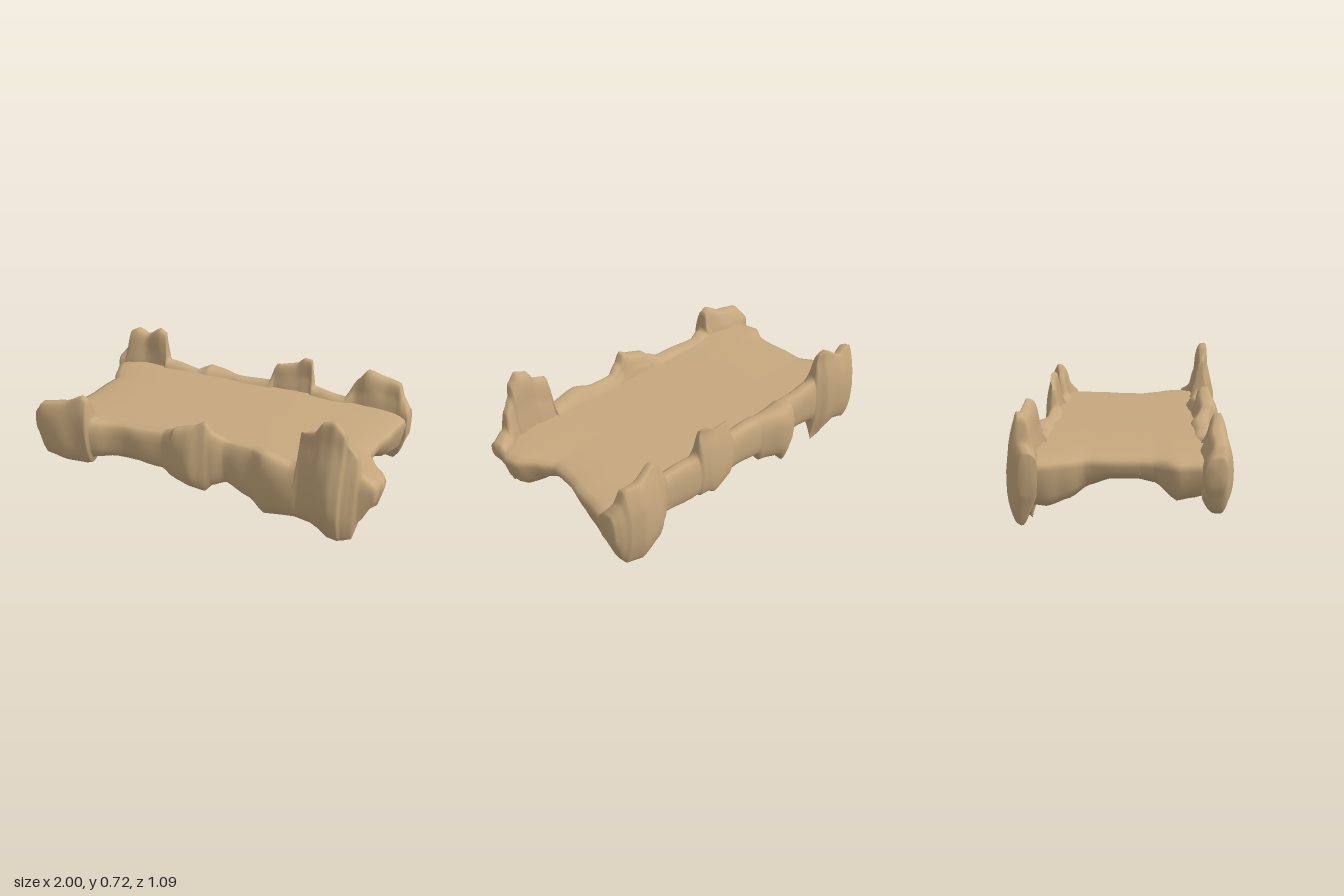
import * as THREE from 'three';

const SIDES = 28;
const spow = (v, e) => Math.sign(v) * Math.pow(Math.abs(v), e);

// Insert softened in-between stations so the lumps look weathered
function refine(stations, steps) {
  const out = [];
  for (let i = 0; i < stations.length - 1; i++) {
    for (let k = 0; k < steps; k++) {
      const t = k / steps;
      const s = (t + t * t * (3 - 2 * t)) / 2;
      out.push(stations[i].map((v, c) => v + (stations[i + 1][c] - v) * (c === 0 ? t : s)));
    }
  }
  out.push(stations[stations.length - 1]);
  return out;
}

// Closed skin over a list of rings, capped at both ends
function loft(rings) {
  const pos = [], idx = [];
  const n = SIDES, last = rings.length - 1;
  rings.forEach((ring) => ring.forEach((p) => pos.push(...p)));
  for (let i = 0; i < last; i++) {
    for (let j = 0; j < n; j++) {
      const a = i * n + j, b = i * n + (j + 1) % n;
      idx.push(a, a + n, b, b, a + n, b + n);
    }
  }
  [0, last].forEach((r) => {
    const c = pos.length / 3;
    pos.push(...[0, 1, 2].map((k) => rings[r].reduce((s, p) => s + p[k], 0) / n));
    for (let j = 0; j < n; j++) {
      const a = r * n + j, b = r * n + (j + 1) % n;
      if (r === 0) idx.push(c, a, b);
      else idx.push(c, b, a);
    }
  });
  const g = new THREE.BufferGeometry();
  g.setAttribute('position', new THREE.Float32BufferAttribute(pos, 3));
  g.setIndex(idx);
  g.computeVertexNormals();
  return g;
}

// Inner face of a wall: flares into the deck, draws back above and below it
function innerFlare(y) {
  if (y > 0.2) return 0.025 * Math.min(1, Math.max(0, (0.44 - y) / 0.06));
  return 0.025 - (0.2 - y) * 0.33;
}

// Lumpy edge wall running along x: stations are x, bottom, top, inner z, outer z
function rimGeometry(stations, side) {
  return loft(refine(stations, 4).map(([x, yb, yt, zi, zo]) => {
    const ring = [];
    for (let j = 0; j < SIDES; j++) {
      const a = (j / SIDES) * Math.PI * 2;
      const y = (yb + yt) / 2 + ((yt - yb) / 2) * spow(Math.sin(a), 0.65);
      const c = spow(Math.cos(a), 0.6);
      let z = side * (zi + zo) / 2 + ((zo - zi) / 2) * c;
      // outer face leans in away from its middle
      if (c * side > 0) z -= side * c * side * Math.min(0.04, 0.6 * Math.pow(y - 0.3, 2));
      else z -= side * Math.abs(c) * innerFlare(y);
      ring.push([x, y, z + 0.005 * Math.sin(x * 23 + y * 9)]);
    }
    return ring;
  }));
}

// Deck running along z: stations are z, left x, right x, underside, corner drop
function deckGeometry(stations) {
  const top = 0.393, mid = 0.33;
  return loft(refine(stations, 4).map(([z, x0, x1, yb, drop]) => {
    const ring = [];
    for (let j = 0; j < SIDES; j++) {
      const a = (j / SIDES) * Math.PI * 2;
      const s = Math.sin(a), c = spow(Math.cos(a), 0.5);
      let y = s > 0 ? mid + (top - mid) * Math.pow(s, 0.5) : mid + (mid - yb) * spow(s, 0.6);
      if (s < 0) y -= drop * Math.pow(-s, 0.6) * Math.pow(Math.abs(c), 3);
      const inset = s < 0 ? 1 + 0.07 * s : 1;
      ring.push([(x0 + x1) / 2 + ((x1 - x0) / 2) * c * inset, y, z]);
    }
    return ring;
  }));
}

export function createModel() {
  const model = new THREE.Group();
  model.name = 'weatheredSlab';
  const stone = new THREE.MeshStandardMaterial({ color: 0xc6a87e });
  stone.name = 'tan stone';
  const add = (name, geometry) => {
    const mesh = new THREE.Mesh(geometry, stone);
    mesh.name = name;
    model.add(mesh);
  };

  // Flat deck with waisted ends and drooping corners
  add('deck', deckGeometry([
    [0.43, -0.95, 0.95, 0.21, 0.08],
    [0.4, -0.96, 0.98, 0.2, 0.1],
    [0.33, -0.96, 1.0, 0.2, 0.13],
    [0.26, -0.97, 0.99, 0.2, 0.15],
    [0.16, -0.9, 0.91, 0.21, 0.03],
    [0.08, -0.89, 0.86, 0.21, 0],
    [-0.05, -0.89, 0.87, 0.21, 0],
    [-0.16, -0.88, 0.9, 0.2, 0.06],
    [-0.25, -0.93, 0.91, 0.2, 0.16],
    [-0.35, -0.97, 0.93, 0.19, 0.2],
    [-0.41, -0.98, 0.94, 0.19, 0.18],
    [-0.44, -0.96, 0.93, 0.22, 0.1],
  ]));

  // Front wall with corner block, middle block and tall pillar
  add('frontRim', rimGeometry([
    [-1.0, 0.27, 0.4, 0.42, 0.49],
    [-0.95, 0.13, 0.46, 0.4, 0.51],
    [-0.8, 0.13, 0.49, 0.4, 0.53],
    [-0.68, 0.13, 0.55, 0.41, 0.52],
    [-0.645, 0.14, 0.53, 0.41, 0.52],
    [-0.625, 0.18, 0.41, 0.39, 0.5],
    [-0.52, 0.2, 0.4, 0.37, 0.47],
    [-0.4, 0.21, 0.41, 0.37, 0.46],
    [-0.2, 0.2, 0.42, 0.37, 0.47],
    [-0.14, 0.16, 0.45, 0.38, 0.48],
    [-0.1, 0.17, 0.48, 0.39, 0.51],
    [0.0, 0.16, 0.51, 0.39, 0.53],
    [0.07, 0.14, 0.55, 0.39, 0.51],
    [0.11, 0.18, 0.49, 0.39, 0.49],
    [0.18, 0.2, 0.45, 0.37, 0.45],
    [0.32, 0.15, 0.45, 0.37, 0.47],
    [0.41, 0.09, 0.46, 0.38, 0.51],
    [0.58, 0.13, 0.42, 0.4, 0.51],
    [0.6, 0.13, 0.62, 0.42, 0.51],
    [0.67, 0.12, 0.64, 0.42, 0.52],
    [0.71, 0.11, 0.7, 0.42, 0.54],
    [0.77, 0.07, 0.72, 0.42, 0.55],
    [0.82, 0.06, 0.67, 0.42, 0.54],
    [0.84, 0.06, 0.6, 0.42, 0.52],
    [0.885, 0.07, 0.54, 0.4, 0.5],
    [0.91, 0.17, 0.44, 0.39, 0.48],
    [0.99, 0.31, 0.39, 0.36, 0.45],
  ], 1));

  // Back wall with upright posts and hanging lumps
  add('backRim', rimGeometry([
    [-0.98, 0.22, 0.41, 0.4, 0.46],
    [-0.94, 0.06, 0.46, 0.41, 0.51],
    [-0.915, 0.06, 0.57, 0.41, 0.535],
    [-0.87, 0.08, 0.59, 0.41, 0.54],
    [-0.8, 0.1, 0.56, 0.42, 0.54],
    [-0.7, 0.03, 0.62, 0.41, 0.52],
    [-0.65, 0.0, 0.6, 0.41, 0.49],
    [-0.63, 0.16, 0.43, 0.39, 0.48],
    [-0.42, 0.17, 0.4, 0.38, 0.46],
    [-0.39, 0.09, 0.41, 0.38, 0.51],
    [-0.345, 0.03, 0.43, 0.38, 0.53],
    [-0.3, 0.09, 0.42, 0.38, 0.53],
    [-0.17, 0.11, 0.41, 0.38, 0.48],
    [-0.14, 0.17, 0.41, 0.38, 0.47],
    [0.07, 0.18, 0.42, 0.38, 0.46],
    [0.11, 0.18, 0.53, 0.41, 0.48],
    [0.23, 0.14, 0.55, 0.42, 0.5],
    [0.28, 0.17, 0.59, 0.42, 0.5],
    [0.33, 0.17, 0.59, 0.42, 0.49],
    [0.35, 0.18, 0.43, 0.39, 0.48],
    [0.55, 0.17, 0.41, 0.38, 0.45],
    [0.61, 0.14, 0.52, 0.41, 0.49],
    [0.67, 0.12, 0.59, 0.41, 0.53],
    [0.78, 0.06, 0.55, 0.42, 0.545],
    [0.86, 0.06, 0.54, 0.41, 0.52],
    [0.89, 0.1, 0.46, 0.4, 0.5],
    [0.94, 0.24, 0.4, 0.39, 0.47],
  ], -1));

  return model;
}
